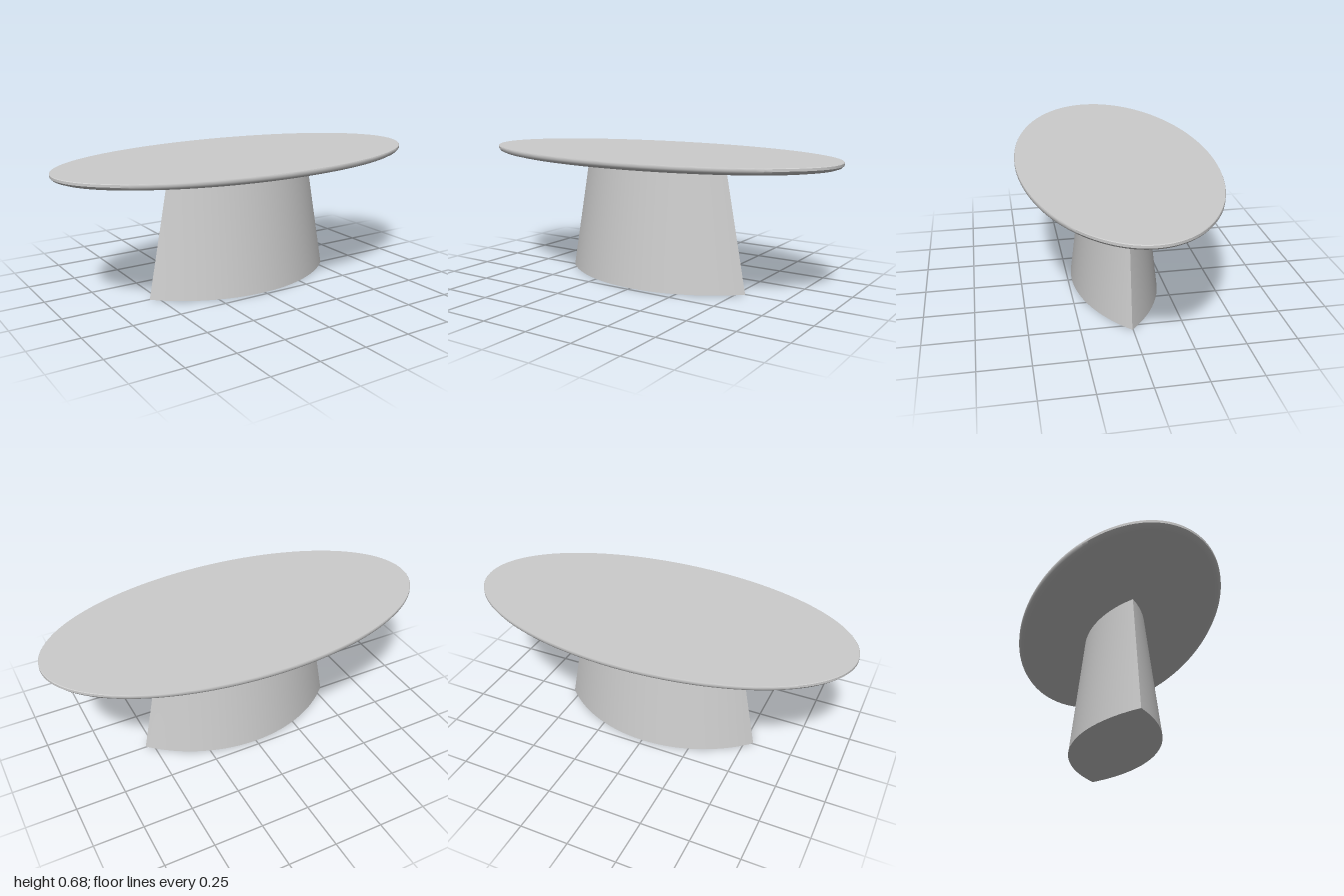
import * as THREE from 'three';
import { toCreasedNormals } from 'three/addons/utils/BufferGeometryUtils.js';

const HEIGHT = 0.683, UNDERSIDE = 0.638;

// Oval top: a turned disc with a rounded lower edge, squashed to an ellipse
function tabletopGeometry() {
  const profile = [
    [0, UNDERSIDE], [0.74, UNDERSIDE], [0.86, 0.641], [0.93, 0.645], [0.97, 0.651],
    [0.99, 0.658], [1, 0.668], [1, 0.68], [0.997, HEIGHT], [0, HEIGHT],
  ].map(([r, y]) => new THREE.Vector2(r, y));
  const geometry = new THREE.LatheGeometry(profile, 128);
  geometry.scale(1, 1, 0.5);
  return toCreasedNormals(geometry, 0.6);
}

// Pedestal: a pointed lens of two arcs, tapering towards the top
function pedestalGeometry() {
  const length = 0.543, width = 0.225, topY = 0.642;
  const radius = (length ** 2 + width ** 2) / (2 * width);
  const half = Math.asin(length / radius);
  const lens = new THREE.Shape();
  lens.absarc(0, width - radius, radius, Math.PI / 2 - half, Math.PI / 2 + half);
  lens.absarc(0, radius - width, radius, -Math.PI / 2 - half, -Math.PI / 2 + half);

  const geometry = new THREE.ExtrudeGeometry(lens, {
    depth: topY, bevelEnabled: false, curveSegments: 40, steps: 4,
  });
  geometry.rotateX(-Math.PI / 2);
  const p = geometry.attributes.position;
  for (let i = 0; i < p.count; i++) {
    const t = p.getY(i) / topY;
    p.setX(i, p.getX(i) * THREE.MathUtils.lerp(1, 0.42 / length, t) - 0.002);
    p.setZ(i, p.getZ(i) * THREE.MathUtils.lerp(1, 0.146 / width, t) + 0.004);
  }
  return toCreasedNormals(geometry, 0.6);
}

export function createModel() {
  const grey = new THREE.MeshStandardMaterial({ color: 0xcccccc });
  grey.name = 'light grey';

  const group = new THREE.Group();
  group.name = 'ovalTable';
  const parts = { tabletop: tabletopGeometry(), pedestal: pedestalGeometry() };
  for (const [name, geometry] of Object.entries(parts)) {
    const mesh = new THREE.Mesh(geometry, grey);
    mesh.name = name;
    group.add(mesh);
  }
  return group;
}
